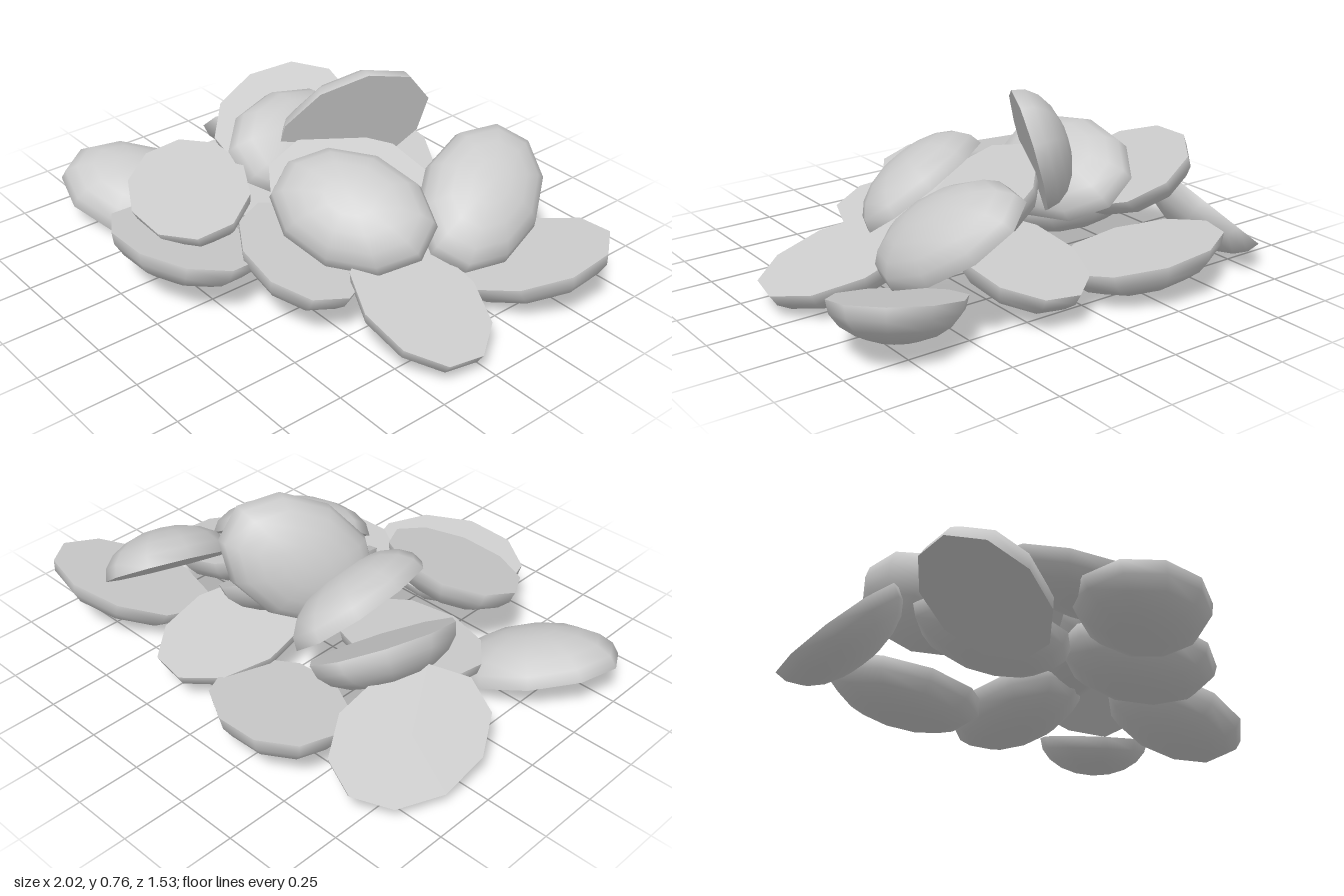
import * as THREE from 'three';
import { mergeGeometries } from 'three/addons/utils/BufferGeometryUtils.js';

// One halved pebble: smooth ten-sided dome (+y) closed by a flat cut face
function halfPebble() {
  const dome = new THREE.SphereGeometry(1, 10, 5, Math.PI / 10, Math.PI * 2, 0, Math.PI / 2);
  const cut = new THREE.CircleGeometry(1, 10, Math.PI / 10).rotateX(Math.PI / 2);
  return mergeGeometries([dome, cut]).scale(0.325, 0.155, 0.232);
}

// [name, centre of cut face, direction the cut face looks, long axis]
const cutUp = [
  ['backRight', [-0.74, 0.21, -0.365], [-0.61, 0.77, -0.22], [0.2, 0, -1]],
  ['backMiddle', [-0.25, 0.185, -0.535], [0.12, 0.97, 0.07], [1, 0, 0.3]],
  ['backInner', [0.18, 0.2, -0.36], [-0.06, 0.95, -0.17], [0.12, 0, -1]],
  ['backLeft', [0.73, 0.2, -0.42], [-0.2, 0.95, 0.23], [1, 0, -0.75]],
  ['sideLeft', [0.675, 0.185, 0.065], [0.27, 0.96, 0], [1, 0, 0.18]],
  ['frontLeft', [0.225, 0.24, 0.245], [0.13, 0.97, -0.15], [1, 0, 0.35]],
  ['frontMiddle', [-0.115, 0.245, 0.54], [-0.03, 0.98, -0.17], [1, 0, -0.22]],
  ['frontUpper', [-0.26, 0.345, 0.415], [0, 0.96, 0.25], [1, 0, 0.28]],
  ['sideUpper', [-0.45, 0.375, -0.2], [0.53, 0.82, 0.17], [0, 0, 1]],
  ['innerUpper', [0.13, 0.36, -0.065], [0.47, 0.86, 0.15], [0.35, 0, -0.6]],
  ['innerLower', [-0.36, 0.22, 0.05], [0.05, 1, 0.08], [1, 0, 0.1]],
];
const cutDown = [
  ['frontRight', [-0.72, 0.092, 0.37], [-0.32, -0.94, -0.08], [1, 0, -0.65]],
  ['upperLeft', [0.305, 0.37, 0.07], [-0.4, -0.8, -0.45], [1, 0, -0.5]],
  ['upperBackLeft', [0.5, 0.345, -0.395], [-0.55, -0.78, -0.2], [0.4, 0, 1]],
  ['upperMiddle', [-0.235, 0.37, -0.09], [-0.62, -0.77, 0.1], [0.1, 0, 1]],
];
// This one stands on edge at the top of the pile
const upright = ['topUpright', [0.005, 0.51, -0.18], [0.84, -0.27, 0.44], [0.27, 0.34, -0.4]];

export function createModel() {
  const pile = new THREE.Group();
  pile.name = 'pebblePile';
  const geometry = halfPebble();
  const material = new THREE.MeshStandardMaterial({ color: 0xcccccc });

  for (const [name, centre, facing, axis] of [...cutUp, ...cutDown, upright]) {
    const up = new THREE.Vector3(...facing).normalize().negate();
    const long = new THREE.Vector3(...axis);
    // Slide a level long axis vertically into the cut plane
    if (axis[1] === 0) long.y = -long.dot(up) / up.y;
    long.addScaledVector(up, -long.dot(up)).normalize();
    const side = new THREE.Vector3().crossVectors(long, up);

    const pebble = new THREE.Mesh(geometry, material);
    pebble.name = name + 'Pebble';
    pebble.quaternion.setFromRotationMatrix(new THREE.Matrix4().makeBasis(long, up, side));
    pebble.position.set(...centre);
    pile.add(pebble);
  }
  return pile;
}
